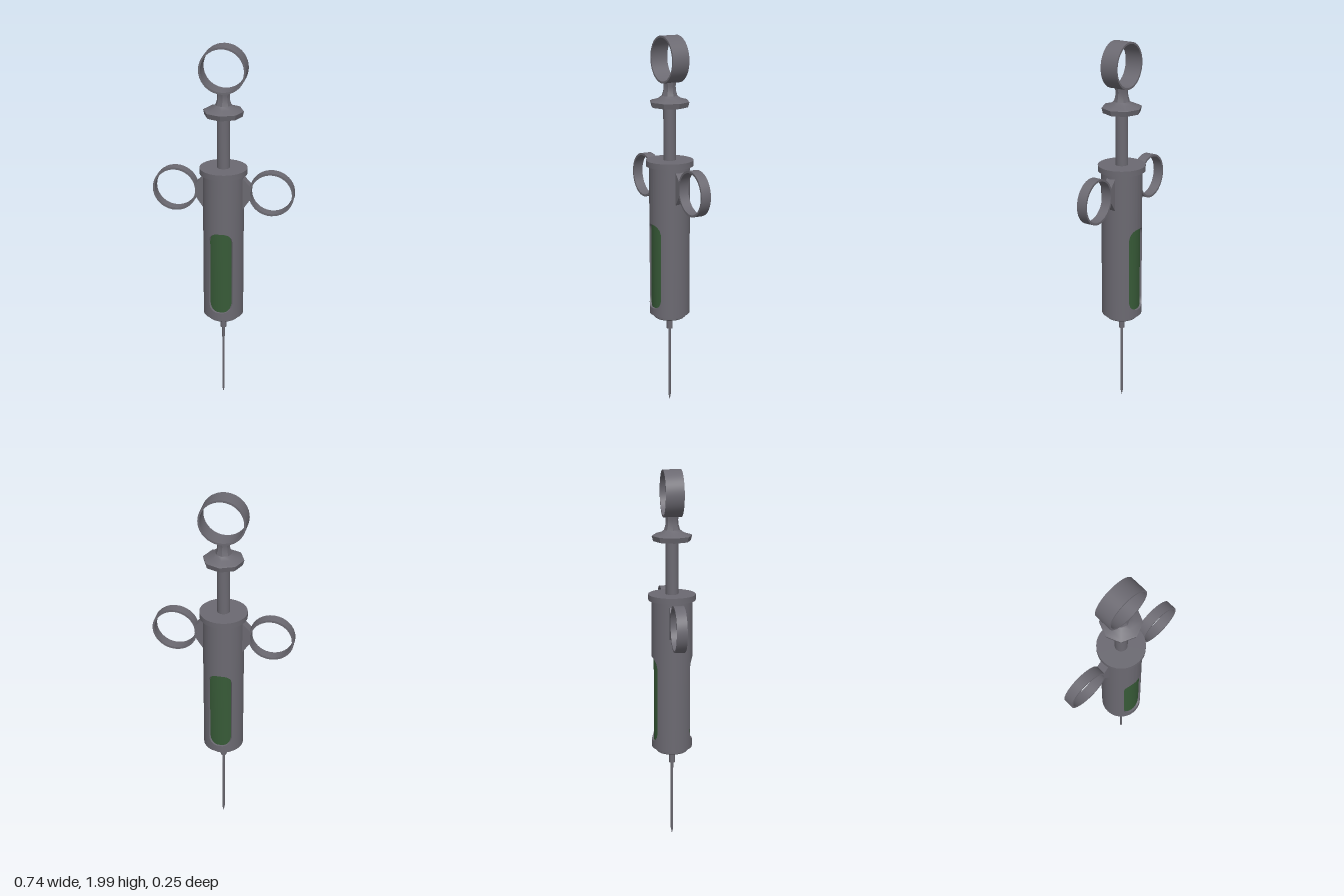
import * as THREE from 'three';
import { toCreasedNormals } from 'three/addons/utils/BufferGeometryUtils.js';

const metal = new THREE.MeshStandardMaterial({ color: 0x6b6971 });
metal.name = 'grey metal';
const green = new THREE.MeshStandardMaterial({ color: 0x375a37 });
green.name = 'green liquid';

// Barrel dimensions
const R = 0.107, RI = 0.096, Y0 = 0.525, Y1 = 1.34;
// Window dimensions
const W = 0.063, WB = 0.565, WT = 1.025, CORNER = 0.05;

function lathe(name, points, sides, material = metal) {
  const g = new THREE.LatheGeometry(points.map(p => new THREE.Vector2(...p)), sides);
  const mesh = new THREE.Mesh(toCreasedNormals(g, 0.6), material);
  mesh.name = name;
  return mesh;
}

// Flat finger band: a short tube with its axis along z
function ring(name, x, y, z, radius, wall, depth) {
  const d = depth / 2, inner = radius - wall;
  const mesh = lathe(name, [[inner, d], [inner, -d], [radius, -d], [radius, d], [inner, d]], 40);
  mesh.rotation.x = Math.PI / 2;
  mesh.position.set(x, y, z);
  return mesh;
}

// Barrel wall made of columns, cut by a round-cornered window at front and back
function barrelGeometry() {
  const pos = [];
  const at = (r, a, y) => [r * Math.sin(a), y, r * Math.cos(a)];
  const quad = (a, b, c, d) => pos.push(...a, ...b, ...c, ...a, ...c, ...d);
  const wall = (a, b, ya, yb, ta, tb) =>
    quad(at(R, a, ya), at(R, b, yb), at(R, b, tb), at(R, a, ta));
  const edge = Math.asin(W / R);
  const inset = a => {
    const over = Math.max(0, Math.abs(R * Math.sin(a)) - (W - CORNER));
    return CORNER - Math.sqrt(Math.max(0, CORNER * CORNER - over * over));
  };
  for (const turn of [0, Math.PI]) {
    const n = 20;
    for (let i = 0; i < n; i++) {
      const a = -edge + 2 * edge * i / n, b = -edge + 2 * edge * (i + 1) / n;
      const ia = inset(a), ib = inset(b), A = a + turn, B = b + turn;
      wall(A, B, Y0, Y0, WB + ia, WB + ib);
      wall(A, B, WT - ia, WT - ib, Y1, Y1);
      // sill and lintel of the window
      quad(at(R, A, WB + ia), at(R, B, WB + ib), at(RI, B, WB + ib), at(RI, A, WB + ia));
      quad(at(RI, A, WT - ia), at(RI, B, WT - ib), at(R, B, WT - ib), at(R, A, WT - ia));
    }
    // window jambs
    const lo = WB + CORNER, hi = WT - CORNER, l = turn - edge, r = turn + edge;
    quad(at(R, l, lo), at(RI, l, lo), at(RI, l, hi), at(R, l, hi));
    quad(at(RI, r, lo), at(R, r, lo), at(R, r, hi), at(RI, r, hi));
    // solid side
    const m = 16, span = (Math.PI - 2 * edge) / m;
    for (let i = 0; i < m; i++) wall(r + span * i, r + span * (i + 1), Y0, Y0, Y1, Y1);
  }
  const g = new THREE.BufferGeometry();
  g.setAttribute('position', new THREE.Float32BufferAttribute(pos, 3));
  return toCreasedNormals(g, 0.6);
}

export function createModel() {
  const model = new THREE.Group();
  model.name = 'syringe';

  // Needle and its hub
  model.add(lathe('needle', [[0, 0.01], [0.007, 0.045], [0.007, 0.44]], 12));
  model.add(lathe('needleHub', [[0, 0.43], [0.016, 0.43], [0.016, 0.505]], 16));

  // Barrel with the liquid showing through its windows
  const barrel = new THREE.Mesh(barrelGeometry(), metal);
  barrel.name = 'barrel';
  model.add(barrel);
  model.add(lathe('liquid', [[0, 0.54], [0.0965, 0.54], [0.0965, 1.05], [0, 1.05]], 40, green));
  model.add(lathe('barrelBase',
    [[0, 0.5], [0.08, 0.5], [0.085, 0.505], [0.085, 0.525], [0.107, 0.525]], 32));
  model.add(lathe('barrelCollar',
    [[0.1, 1.33], [0.124, 1.33], [0.124, 1.36], [0, 1.36]], 32));

  // Plunger: rod, eight-sided thumb flange with a flared neck
  model.add(lathe('plungerRod', [[0.033, 1.35], [0.033, 1.645]], 16));
  model.add(lathe('plungerFlange', [[0, 1.638], [0.098, 1.638], [0.105, 1.665],
    [0.098, 1.67], [0.062, 1.68], [0.042, 1.695], [0.034, 1.72], [0.032, 1.745], [0.036, 1.77],
    [0, 1.77]], 8));
  model.add(ring('thumbRing', 0, 1.88, 0, 0.12, 0.01, 0.094));

  // Finger rings and their brackets
  for (const [side, s] of [['left', 1], ['right', -1]]) {
    model.add(ring(side + 'FingerRing', s * 0.253, 1.232, -0.002, 0.118, 0.011, 0.053));
    const profile = new THREE.Shape([[0.09, 1.14], [0.105, 1.14], [0.142, 1.195],
      [0.142, 1.27], [0.105, 1.31], [0.09, 1.31]].map(p => new THREE.Vector2(s * p[0], p[1])));
    const g = new THREE.ExtrudeGeometry(profile, { depth: 0.05, bevelEnabled: false });
    const bracket = new THREE.Mesh(g.translate(0, 0, -0.027), metal);
    bracket.name = side + 'Bracket';
    model.add(bracket);
  }
  return model;
}
